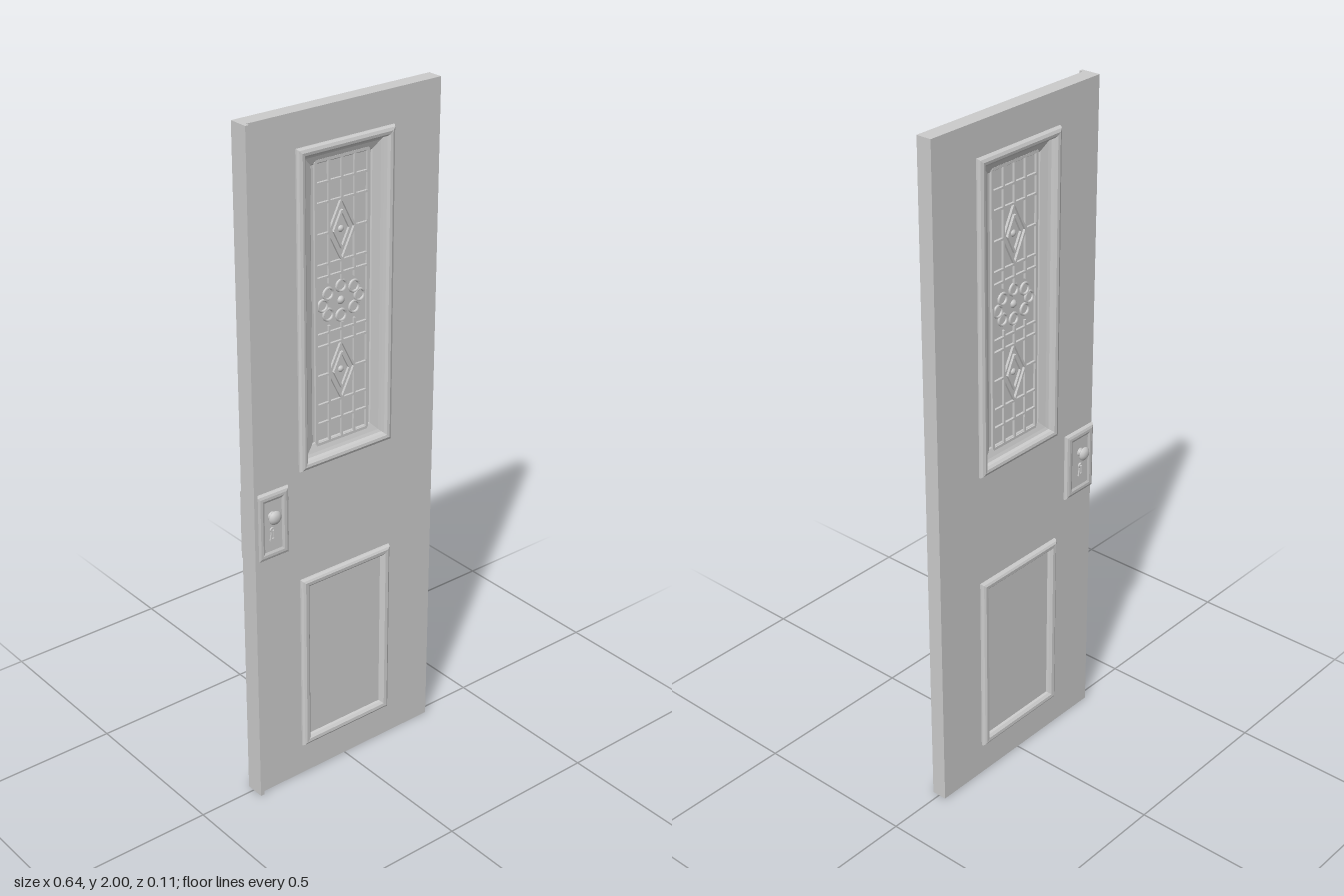
import * as THREE from 'three';

const mat = new THREE.MeshStandardMaterial({ color: 0xcccccc });

function add(parent, name, geometry, x = 0, y = 0, z = 0) {
  const mesh = new THREE.Mesh(geometry, mat);
  mesh.name = name;
  mesh.position.set(x, y, z);
  parent.add(mesh);
  return mesh;
}

// Mitred rectangular moulding: profile is [inset, z] from the outside inwards
function moulding(w, h, profile, capped = false) {
  const loops = profile.map(([d, z]) => {
    const a = w / 2 - d, b = h / 2 - d;
    return [[-a, -b, z], [a, -b, z], [a, b, z], [-a, b, z]];
  });
  const pos = [];
  const quad = (a, b, c, d) => pos.push(...a, ...b, ...c, ...a, ...c, ...d);
  for (let j = 0; j < loops.length - 1; j++) {
    for (let i = 0; i < 4; i++) {
      const k = (i + 1) % 4;
      quad(loops[j][i], loops[j][k], loops[j + 1][k], loops[j + 1][i]);
    }
  }
  if (capped) quad(...loops[loops.length - 1]);
  const g = new THREE.BufferGeometry();
  g.setAttribute('position', new THREE.Float32BufferAttribute(pos, 3));
  g.computeVertexNormals();
  return g;
}

// Slim bar between two points of the window plane
function bar(parent, name, x1, y1, x2, y2, width = 0.006, depth = 0.024) {
  const len = Math.hypot(x2 - x1, y2 - y1);
  const m = add(parent, name, new THREE.BoxGeometry(len, width, depth), (x1 + x2) / 2, (y1 + y2) / 2);
  m.rotation.z = Math.atan2(y2 - y1, x2 - x1);
}

function makeLattice() {
  const g = new THREE.Group();
  g.name = 'windowLattice';
  const W = 0.087, H = 0.4;
  // Border and upright bars, broken at the diamonds and the rosette
  for (const s of [-1, 1]) {
    bar(g, 'latticeBorder', s * W, -H, s * W, H, 0.008);
    bar(g, 'latticeBorder', -W, s * H, W, s * H, 0.008);
    bar(g, 'latticeUpright', s * 0.043, 0.06, s * 0.043, H);
    bar(g, 'latticeUpright', s * 0.043, -H, s * 0.043, -0.06);
    bar(g, 'latticeUpright', 0, s * 0.285, 0, s * H);
    bar(g, 'latticeUpright', 0, s * 0.06, 0, s * 0.115);
    // Crossbars
    for (const y of [0.08, 0.115, 0.285, 0.34]) bar(g, 'latticeCrossbar', -W, s * y, W, s * y);
    for (const t of [-1, 1]) bar(g, 'latticeCrossbar', t * 0.043, s * 0.2, t * W, s * 0.2);
    // Diamond with a boss in its middle
    for (const [hw, hh] of [[0.043, 0.085], [0.026, 0.052]]) {
      const pts = [[hw, 0], [0, hh], [-hw, 0], [0, -hh]];
      pts.forEach((p, i) => {
        const q = pts[(i + 1) % 4];
        bar(g, 'latticeDiamond', p[0], p[1] + s * 0.2, q[0], q[1] + s * 0.2);
      });
    }
    add(g, 'diamondBoss', new THREE.SphereGeometry(0.011, 16, 10), 0, s * 0.2, 0);
  }
  // Rosette of rings around the centre
  add(g, 'rosetteCentre', new THREE.SphereGeometry(0.013, 16, 10));
  for (let i = 0; i < 8; i++) {
    const a = i * Math.PI / 4;
    const ring = add(g, 'rosettePetal', new THREE.TorusGeometry(0.016, 0.004, 8, 16),
      0.062 * Math.cos(a), 0.042 * Math.sin(a), 0);
    ring.scale.z = 2.8;
  }
  g.position.y = 1.453;
  return g;
}

// Mouldings and lock fittings of one face; side is 1 for front and -1 for back
function makeFace(side) {
  const g = new THREE.Group();
  g.name = side > 0 ? 'frontFittings' : 'backFittings';

  add(g, 'windowFrame', moulding(0.32, 0.905, [
    [0, 0.022], [0, 0.028], [0.004, 0.034], [0.012, 0.0375], [0.02, 0.036], [0.026, 0.030],
    [0.028, 0.020], [0.036, 0.016], [0.058, 0.008], [0.062, 0.004],
  ]), 0, 1.453);

  add(g, 'lowerPanelFrame', moulding(0.32, 0.56, [
    [0, 0.022], [0, 0.028], [0.004, 0.034], [0.010, 0.0375], [0.02, 0.0365], [0.027, 0.030], [0.03, 0.022],
  ]), 0, 0.38);

  // Lock plate with a bevelled rim and shallow field
  const w = side > 0 ? 0.11 : 0.12;
  const x = side * -(0.2 + w / 2);
  add(g, 'lockPlate', moulding(w, 0.205, [
    [0, 0.022], [0, 0.027], [0.004, 0.032], [0.011, 0.0345], [0.019, 0.0345], [0.026, 0.0315],
  ], true), x, 0.873);

  // Round knob on a short neck
  const knob = new THREE.LatheGeometry([
    [0.013, 0.031], [0.012, 0.034], [0.008, 0.036], [0.008, 0.040], [0.014, 0.042], [0.0195, 0.045],
    [0.0205, 0.047], [0.019, 0.050], [0.013, 0.0545], [0.007, 0.0568], [0, 0.057],
  ].map(p => new THREE.Vector2(...p)), 32).rotateX(Math.PI / 2);
  add(g, 'knob', knob, side * -0.26, 0.905);

  // Keyhole cover under the knob
  const cover = new THREE.Shape();
  cover.absarc(0, 0, 0.008, -0.9, Math.PI + 0.9, false);
  cover.lineTo(-0.009, -0.032);
  cover.lineTo(0.009, -0.032);
  const slot = new THREE.Path();
  slot.absarc(0, 0, 0.004, -1, Math.PI + 1, false);
  slot.lineTo(-0.004, -0.026);
  slot.lineTo(0.004, -0.026);
  cover.holes.push(slot);
  add(g, 'keyholeCover', new THREE.ExtrudeGeometry(cover, { depth: 0.005, bevelEnabled: false }),
    side * -0.26, 0.862, 0.031);

  if (side < 0) g.rotation.y = Math.PI;
  return g;
}

export function createModel() {
  const model = new THREE.Group();
  model.name = 'door';

  // Slab with an opening for the window
  const slab = new THREE.Shape();
  slab.moveTo(-0.32, 0).lineTo(0.32, 0).lineTo(0.32, 2).lineTo(-0.32, 2).closePath();
  const opening = new THREE.Path();
  opening.moveTo(-0.135, 1.025).lineTo(-0.135, 1.88).lineTo(0.135, 1.88).lineTo(0.135, 1.025).closePath();
  slab.holes.push(opening);
  add(model, 'doorSlab', new THREE.ExtrudeGeometry(slab, { depth: 0.046, bevelEnabled: false }), 0, 0, -0.023);

  // Cover strip along the front of the lock edge
  add(model, 'edgeStrip', new THREE.BoxGeometry(0.012, 2, 0.013), -0.314, 1, 0.0285);

  add(model, 'windowPane', new THREE.BoxGeometry(0.27, 0.855, 0.01), 0, 1.4525, 0);
  model.add(makeLattice(), makeFace(1), makeFace(-1));
  return model;
}
